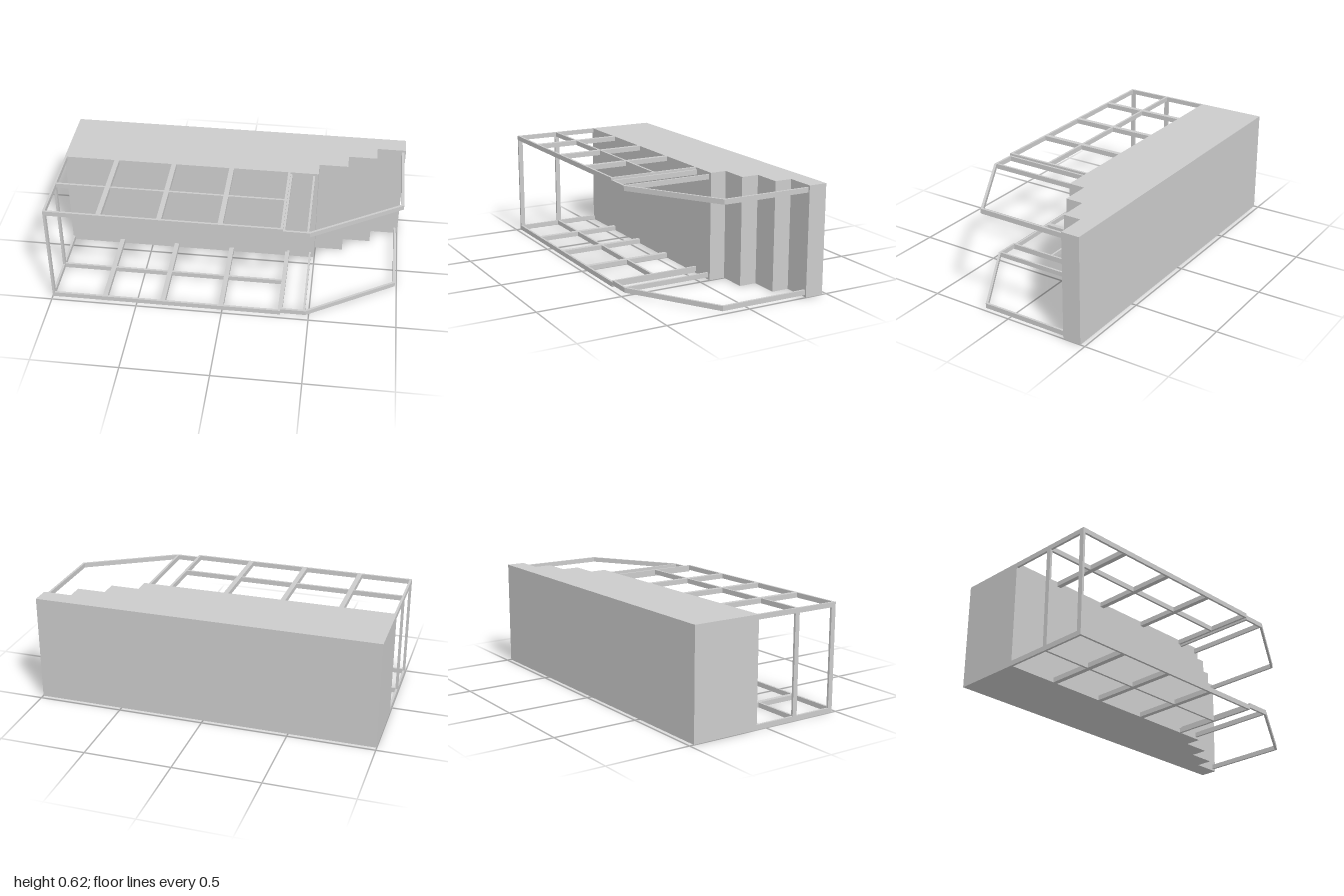
import * as THREE from 'three';

const H = 0.625;    // overall height
const BAR = 0.028;  // bar depth
const THIN = 0.013; // bar thickness
const BACK = -0.063; // front face of the solid block
const FRONT = 0.472;

export function createModel() {
  const model = new THREE.Group();
  const material = new THREE.MeshStandardMaterial({ color: 0xcccccc, flatShading: true });

  // Box given by its extents
  function box(parent, name, x0, x1, y0, y1, z0, z1) {
    const mesh = new THREE.Mesh(new THREE.BoxGeometry(x1 - x0, y1 - y0, z1 - z0), material);
    mesh.position.set((x0 + x1) / 2, (y0 + y1) / 2, (z0 + z1) / 2);
    mesh.name = name;
    parent.add(mesh);
  }

  // Plan outline given as [x, z] corners, raised from y0 by height
  function slab(parent, name, corners, y0, height) {
    const shape = new THREE.Shape(corners.map(([x, z]) => new THREE.Vector2(x, -z)));
    const geometry = new THREE.ExtrudeGeometry(shape, { depth: height, bevelEnabled: false });
    geometry.rotateX(-Math.PI / 2);
    const mesh = new THREE.Mesh(geometry, material);
    mesh.position.y = y0;
    mesh.name = name;
    parent.add(mesh);
  }

  // Solid block with a stepped end
  slab(model, 'steppedBlock', [
    [-1, -0.472], [1, -0.472], [1, -0.364], [0.832, -0.364], [0.832, -0.262],
    [0.665, -0.262], [0.665, -0.159], [0.498, -0.159], [0.498, BACK], [-1, BACK],
  ], 0, H);

  // Straight frame, at the floor and at the top
  for (const [name, y] of [['lowerFrame', 0], ['upperFrame', H - BAR]]) {
    const frame = new THREE.Group();
    frame.name = name;
    model.add(frame);
    box(frame, 'frontRail', -1, 0.336, y, y + BAR, FRONT - THIN, FRONT);
    box(frame, 'middleRail', -1 + THIN, 0.322, y, y + BAR, 0.196, 0.209);
    box(frame, 'endRail', -1, -1 + THIN, y, y + BAR, BACK, FRONT - THIN);
    for (const x of [-0.688, -0.348, -0.008]) {
      box(frame, 'crossBar', x - BAR / 2, x + BAR / 2, y, y + BAR, BACK, FRONT - THIN);
    }
    box(frame, 'lastCrossBar', 0.322, 0.336, y, y + BAR, BACK, FRONT - THIN);
  }

  // Angled end frame, set slightly inward in height
  for (const [name, y] of [['lowerEndFrame', 0.0125], ['upperEndFrame', H - 0.0125 - BAR]]) {
    const frame = new THREE.Group();
    frame.name = name;
    model.add(frame);
    box(frame, 'joiningBar', 0.336, 0.348, y, y + BAR, BACK, FRONT - THIN);
    box(frame, 'crossBar', 0.467, 0.479, y, y + BAR, BACK, FRONT - THIN);
    slab(frame, 'bentRail', [
      [0.336, FRONT], [0.483, FRONT], [0.99, 0.16], [0.99, -0.364], [0.977, -0.364],
      [0.977, 0.152], [0.479, FRONT - THIN], [0.336, FRONT - THIN],
    ], y, BAR);
  }

  // Uprights at the straight end
  for (const [name, z] of [['cornerPost', FRONT - BAR], ['middlePost', 0.187]]) {
    box(model, name, -1, -1 + THIN, BAR, H - BAR, z, z + BAR);
  }
  return model;
}
